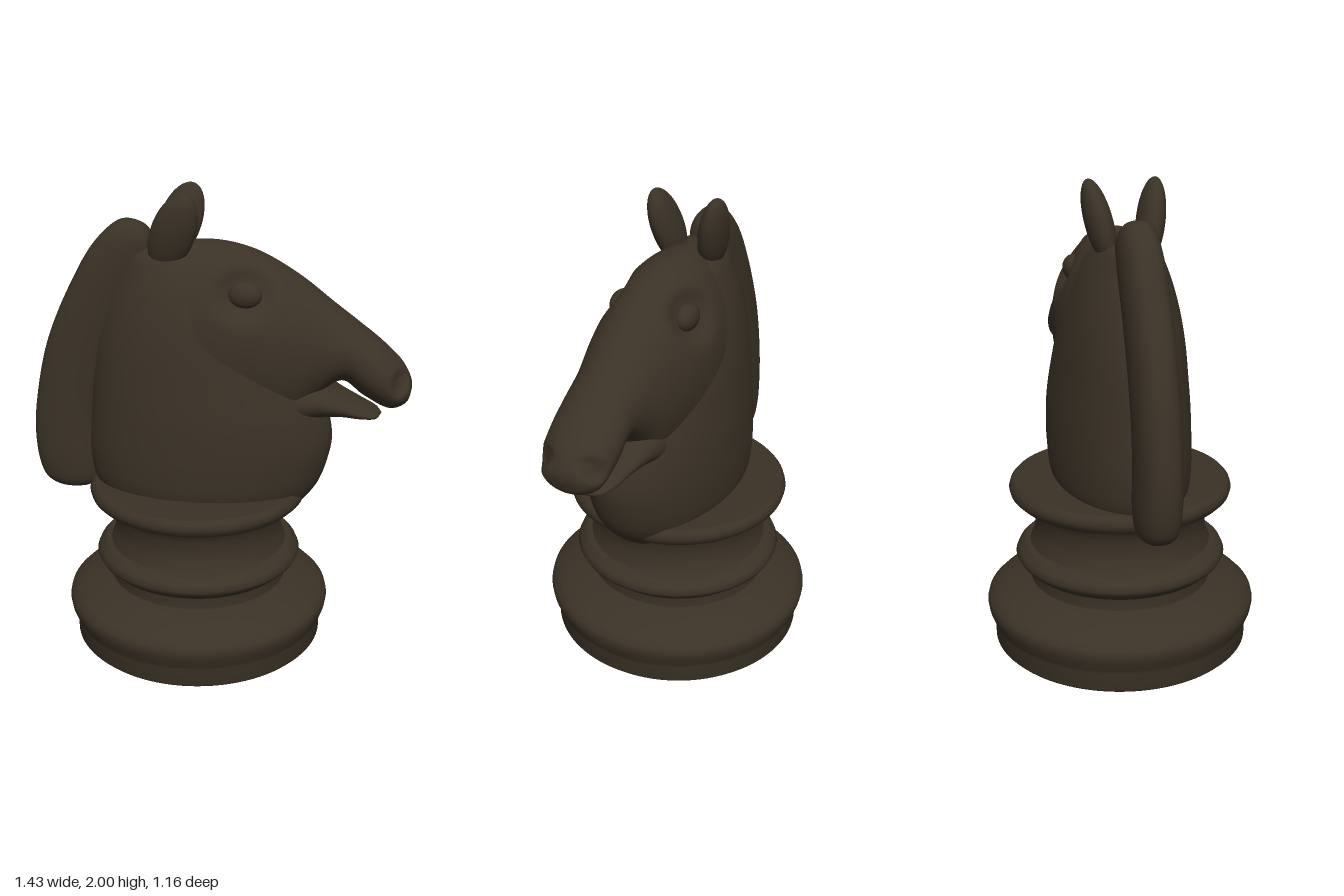
import * as THREE from 'three';

const darkWood = new THREE.MeshStandardMaterial({ color: 0x3b3226 });
darkWood.name = 'darkWood';

// Skin through elliptical rings. Station: [x1, y1, x2, y2, halfWidth],
// where the two points are opposite ends of the ring in the side profile.
function loft(name, stations, { power = 1, rings = 72, sides = 56, dents = [] } = {}) {
  const curveA = new THREE.CatmullRomCurve3(stations.map(s => new THREE.Vector3(s[0], s[1], s[4])));
  const curveB = new THREE.CatmullRomCurve3(stations.map(s => new THREE.Vector3(s[2], s[3], s[4])));
  const positions = [], index = [];
  for (let i = 0; i <= rings; i++) {
    const a = curveA.getPoint(i / rings), b = curveB.getPoint(i / rings);
    for (let j = 0; j < sides; j++) {
      const angle = (j / sides) * Math.PI * 2;
      const c = Math.cos(angle), s = Math.sin(angle);
      const x = (a.x + b.x) / 2 + ((a.x - b.x) / 2) * c;
      const y = (a.y + b.y) / 2 + ((a.y - b.y) / 2) * c;
      let z = Math.max(a.z, 0) * Math.sign(s) * Math.abs(s) ** power;
      // press hollows into both flanks
      for (const [dx, dy, rx, ry, depth] of dents) {
        const d = ((x - dx) / rx) ** 2 + ((y - dy) / ry) ** 2;
        z -= Math.sign(z) * Math.min(Math.abs(z), depth * Math.exp(-d * d));
      }
      positions.push(x, y, z);
      if (i < rings) {
        const k = i * sides + j, n = i * sides + (j + 1) % sides;
        index.push(k, k + sides, n, n, k + sides, n + sides);
      }
    }
  }
  const geometry = new THREE.BufferGeometry();
  geometry.setAttribute('position', new THREE.Float32BufferAttribute(positions, 3));
  geometry.setIndex(index);
  geometry.computeVertexNormals();
  const mesh = new THREE.Mesh(geometry, darkWood);
  mesh.name = name;
  return mesh;
}

function ellipsoid(name, position, scale, rotation = [0, 0, 0]) {
  const mesh = new THREE.Mesh(new THREE.SphereGeometry(1, 32, 24), darkWood);
  mesh.name = name;
  mesh.position.set(...position);
  mesh.scale.set(...scale);
  mesh.rotation.set(...rotation);
  return mesh;
}

export function createModel() {
  const model = new THREE.Group();
  model.name = 'chessKnight';

  // Turned pedestal; near-duplicate points keep the edges crisp
  const profile = [
    [0, 0], [0.53, 0], [0.535, 0], [0.55, 0.015], [0.552, 0.09], [0.56, 0.11], [0.576, 0.15],
    [0.581, 0.18], [0.575, 0.205], [0.55, 0.23], [0.5, 0.255], [0.45, 0.272], [0.425, 0.28], [0.42, 0.281],
    [0.39, 0.285], [0.387, 0.29], [0.387, 0.34], [0.39, 0.345], [0.41, 0.35], [0.44, 0.378],
    [0.451, 0.4], [0.44, 0.425], [0.415, 0.448], [0.41, 0.45], [0.39, 0.451], [0.386, 0.455],
    [0.37, 0.5], [0.365, 0.54], [0.37, 0.59], [0.385, 0.63], [0.405, 0.65], [0.42, 0.655],
    [0.45, 0.66], [0.468, 0.678], [0.474, 0.7], [0.468, 0.72], [0.455, 0.735], [0.45, 0.736], [0, 0.736],
  ];
  const pedestal = new THREE.Mesh(
    new THREE.LatheGeometry(profile.map(p => new THREE.Vector2(...p)), 96), darkWood);
  pedestal.name = 'pedestal';
  model.add(pedestal);

  const horse = new THREE.Group();
  horse.name = 'horse';
  model.add(horse);

  // Neck and chest, bottom to top
  horse.add(loft('neck', [
    [0.3, 0.585, 0.28, 0.585, 0], [0.39, 0.6, 0, 0.6, 0.12], [0.46, 0.655, -0.38, 0.655, 0.24],
    [0.525, 0.74, -0.45, 0.74, 0.28], [0.565, 0.85, -0.47, 0.85, 0.29], [0.58, 0.95, -0.47, 0.95, 0.29],
    [0.56, 1.07, -0.46, 1.07, 0.285], [0.51, 1.2, -0.45, 1.2, 0.27], [0.43, 1.35, -0.43, 1.35, 0.25],
    [0.34, 1.5, -0.39, 1.5, 0.22], [0.22, 1.65, -0.33, 1.65, 0.17], [0.08, 1.74, -0.28, 1.75, 0.11],
    [-0.09, 1.775, -0.11, 1.775, 0],
  ]));

  // Head, nose to poll, with eye sockets and nostrils
  horse.add(loft('head', [
    [0.905, 1.18, 0.9, 1.165, 0], [0.9, 1.225, 0.875, 1.12, 0.085], [0.865, 1.29, 0.81, 1.1, 0.135],
    [0.78, 1.375, 0.7, 1.155, 0.15], [0.68, 1.455, 0.61, 1.215, 0.148], [0.57, 1.54, 0.5, 1.13, 0.165],
    [0.42, 1.655, 0.42, 1.02, 0.2], [0.25, 1.75, 0.25, 0.97, 0.232], [0.1, 1.788, 0.08, 0.95, 0.24],
    [-0.05, 1.785, -0.05, 0.95, 0.22], [-0.2, 1.74, -0.2, 1.05, 0.17], [-0.32, 1.5, -0.32, 1.4, 0],
  ], { rings: 120, sides: 96, dents: [[0.21, 1.605, 0.11, 0.09, 0.045], [0.85, 1.235, 0.032, 0.045, 0.035]] }));

  // Lower jaw, lip to throat
  horse.add(loft('lowerJaw', [
    [0.785, 1.068, 0.783, 1.062, 0], [0.76, 1.085, 0.755, 1.05, 0.075], [0.7, 1.115, 0.69, 1.052, 0.11],
    [0.62, 1.16, 0.61, 1.058, 0.13], [0.52, 1.22, 0.52, 1.05, 0.155], [0.4, 1.25, 0.4, 1.02, 0.17],
    [0.3, 1.15, 0.3, 1.12, 0],
  ]));

  // Mane crest, top to bottom
  horse.add(loft('mane', [
    [-0.17, 1.79, -0.17, 1.77, 0], [-0.22, 1.85, -0.19, 1.7, 0.065], [-0.31, 1.868, -0.22, 1.64, 0.082],
    [-0.42, 1.78, -0.26, 1.55, 0.088], [-0.53, 1.6, -0.31, 1.45, 0.09], [-0.64, 1.35, -0.38, 1.25, 0.09],
    [-0.695, 1.12, -0.42, 1.1, 0.09], [-0.715, 0.95, -0.43, 0.95, 0.09], [-0.705, 0.8, -0.43, 0.81, 0.09],
    [-0.68, 0.725, -0.44, 0.72, 0.08], [-0.63, 0.685, -0.47, 0.685, 0.055], [-0.56, 0.672, -0.54, 0.672, 0],
  ], { power: 0.75 }));

  // Mirrored ears and eyes
  for (const side of [1, -1]) {
    horse.add(ellipsoid('ear', [-0.085, 1.835, side * 0.105], [0.09, 0.175, 0.055], [side * 0.2, 0, -0.35]));
    horse.add(ellipsoid('eye', [0.21, 1.6, side * 0.145], [0.07, 0.055, 0.045]));
  }

  // The horse faces diagonally across the pedestal
  horse.rotation.y = 0.55;
  model.position.x = -0.085;
  const group = new THREE.Group();
  group.add(model);
  return group;
}
